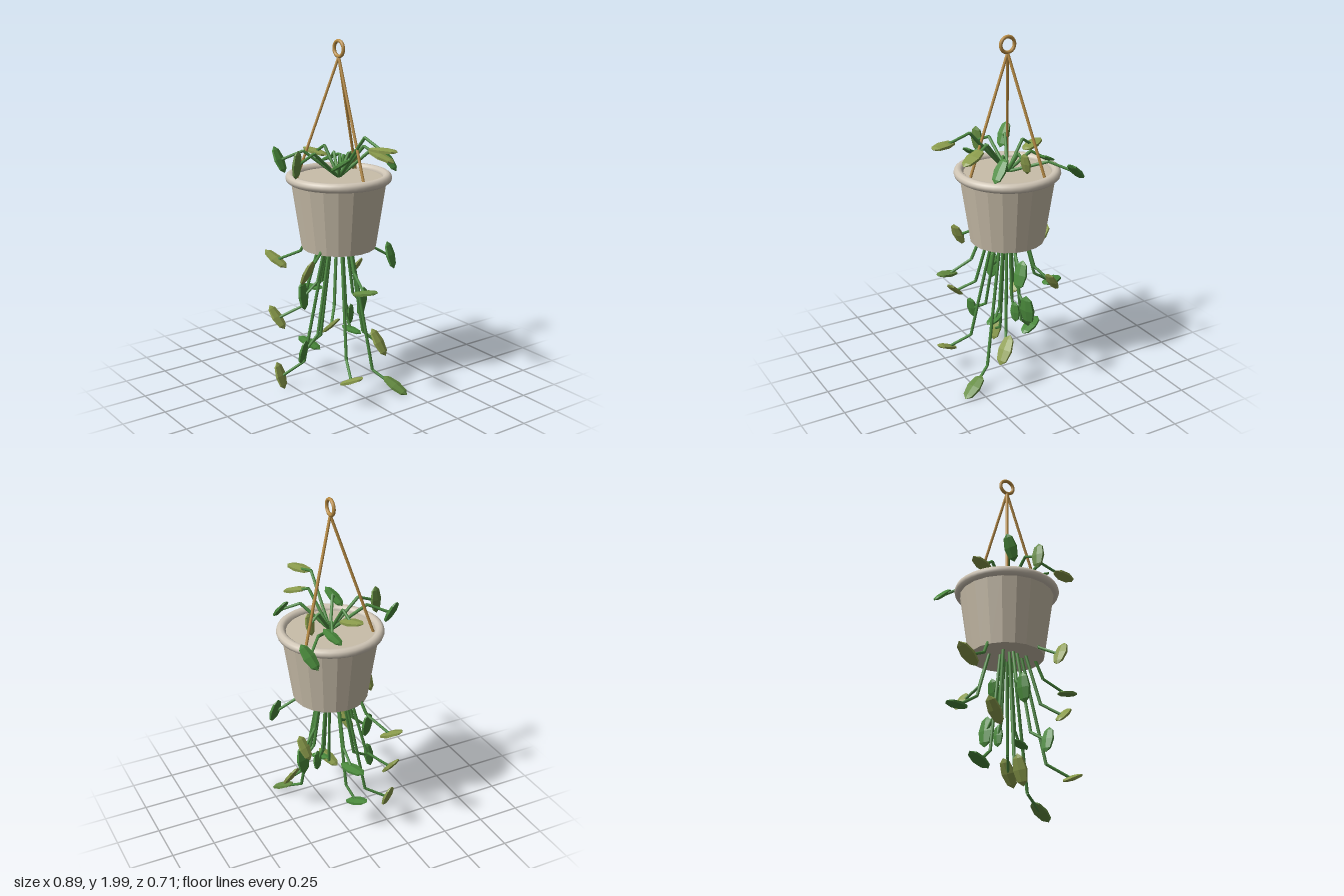
import * as THREE from 'three';

const CX = -0.027, CZ = -0.015; // pot axis
const RIM_Y = 1.24;

const mat = (name, color, flat = true) => {
  const m = new THREE.MeshStandardMaterial({ color, flatShading: flat });
  m.name = name;
  return m;
};

export function createModel() {
  const model = new THREE.Group();
  model.name = 'hangingPlanter';
  const clay = mat('clay', 0xc8bda9);
  const rimClay = mat('rimClay', 0xd0c6b6, false);
  const brass = mat('brass', 0xbb8e45, false);
  const stemGreen = mat('stemGreen', 0x4c8a40, false);
  const leafMats = {
    g: mat('leafGreen', 0x4a8a3c),
    m: mat('leafMidGreen', 0x658c42),
    y: mat('leafOlive', 0x8b9c4c),
  };

  const add = (parent, name, geometry, material) => {
    const mesh = new THREE.Mesh(geometry, material);
    mesh.name = name;
    parent.add(mesh);
    return mesh;
  };

  // Straight round bar between two points
  const bar = (parent, name, a, b, r, material) => {
    const dir = b.clone().sub(a);
    const mesh = add(parent, name, new THREE.CylinderGeometry(r, r, dir.length(), 8), material);
    mesh.position.copy(a).addScaledVector(dir, 0.5);
    mesh.quaternion.setFromUnitVectors(new THREE.Vector3(0, 1, 0), dir.normalize());
  };

  // Tapered pot with a rolled rim
  add(model, 'pot', new THREE.CylinderGeometry(0.27, 0.21, 0.4, 20), clay)
    .position.set(CX, 1.04, CZ);
  const rim = add(model, 'rim', new THREE.TorusGeometry(0.27, 0.027, 10, 40), rimClay);
  rim.rotation.x = Math.PI / 2;
  rim.position.set(CX, RIM_Y, CZ);

  // Hanger: three cords meeting at a ring
  const hanger = new THREE.Group();
  hanger.name = 'hanger';
  model.add(hanger);
  const apex = new THREE.Vector3(CX, 1.905, CZ);
  for (let i = 0; i < 3; i++) {
    const a = (i * Math.PI * 2) / 3;
    const foot = new THREE.Vector3(CX + 0.235 * Math.cos(a), 1.235, CZ + 0.235 * Math.sin(a));
    bar(hanger, 'cord', apex, foot, 0.008, brass);
  }
  add(hanger, 'ring', new THREE.TorusGeometry(0.042, 0.01, 8, 28), brass)
    .position.set(CX, 1.948, CZ);

  // Faceted leaf, long along x and thin along y
  const leafGeo = new THREE.SphereGeometry(1, 6, 4);
  leafGeo.rotateZ(Math.PI / 2);
  leafGeo.scale(0.5, 0.09, 0.27);

  // Shoots: a stem with one knee, ending in a leaf [x, y, z, colour, leaf length]
  const shoot = (name, [x, y, z, tint, length = 0.165], lift) => {
    const g = new THREE.Group();
    g.name = name;
    model.add(g);
    const dx = x - CX, dz = z - CZ;
    const root = new THREE.Vector3(CX, RIM_Y, CZ);
    const knee = new THREE.Vector3(CX + dx * 0.6, y + lift, CZ + dz * 0.6);
    const tip = new THREE.Vector3(CX + dx * 0.96, y, CZ + dz * 0.96);
    bar(g, 'stem', root, knee, 0.009, stemGreen);
    bar(g, 'stemTip', knee, tip, 0.008, stemGreen);
    const leaf = add(g, 'leaf', leafGeo, leafMats[tint]);
    leaf.position.set(x, y, z);
    leaf.scale.setScalar(length);
    leaf.rotation.set(0, 0.4, Math.atan2(dz, dx));
  };

  const upright = [
    [0.365, 1.455, -0.017, 'y', 0.175],
    [0.237, 1.39, -0.105, 'y', 0.17],
    [0.146, 1.34, -0.232, 'g', 0.15],
    [-0.06, 1.32, -0.153, 'y', 0.13],
    [-0.225, 1.31, -0.1, 'g', 0.14],
    [-0.306, 1.27, -0.273, 'g', 0.165],
    [-0.208, 1.36, 0.02, 'y', 0.165],
    [0.139, 1.35, 0.09, 'g', 0.15],
    [0, 1.35, 0.28, 'm', 0.16],
    [-0.175, 1.35, 0.28, 'g', 0.16],
  ];
  const trailing = [
    [-0.376, 0.71, 0.187, 'y', 0.175],
    [-0.325, 0.51, -0.025, 'g', 0.165],
    [-0.256, 0.4, 0.26, 'y'],
    [-0.23, 0.2, 0.055, 'g'],
    [-0.14, 0.09, 0.315, 'y'],
    [0.29, 0.053, -0.184, 'm', 0.175],
    [0.295, 0.165, 0.13, 'y'],
    [0.32, 0.67, 0.06, 'm', 0.165],
    [0.2, 0.48, 0.2, 'y', 0.15],
    [0.122, 0.78, 0.3, 'y'],
    [0.045, 0.29, 0.28, 'g', 0.15],
    [0.067, 0.755, -0.315, 'g'],
    [-0.18, 0.63, -0.25, 'y', 0.15],
    [-0.05, 0.46, -0.2, 'g', 0.19],
    [0.1, 0.25, -0.21, 'y', 0.18],
    [-0.055, 0.58, 0.21, 'g', 0.17],
    [0.07, 0.36, -0.035, 'g', 0.13],
    [-0.03, 0.41, -0.1, 'g', 0.13],
  ];
  upright.forEach((s) => shoot('uprightShoot', s, 0.045));
  trailing.forEach((s) => shoot('trailingShoot', s, 0.07));

  return model;
}
